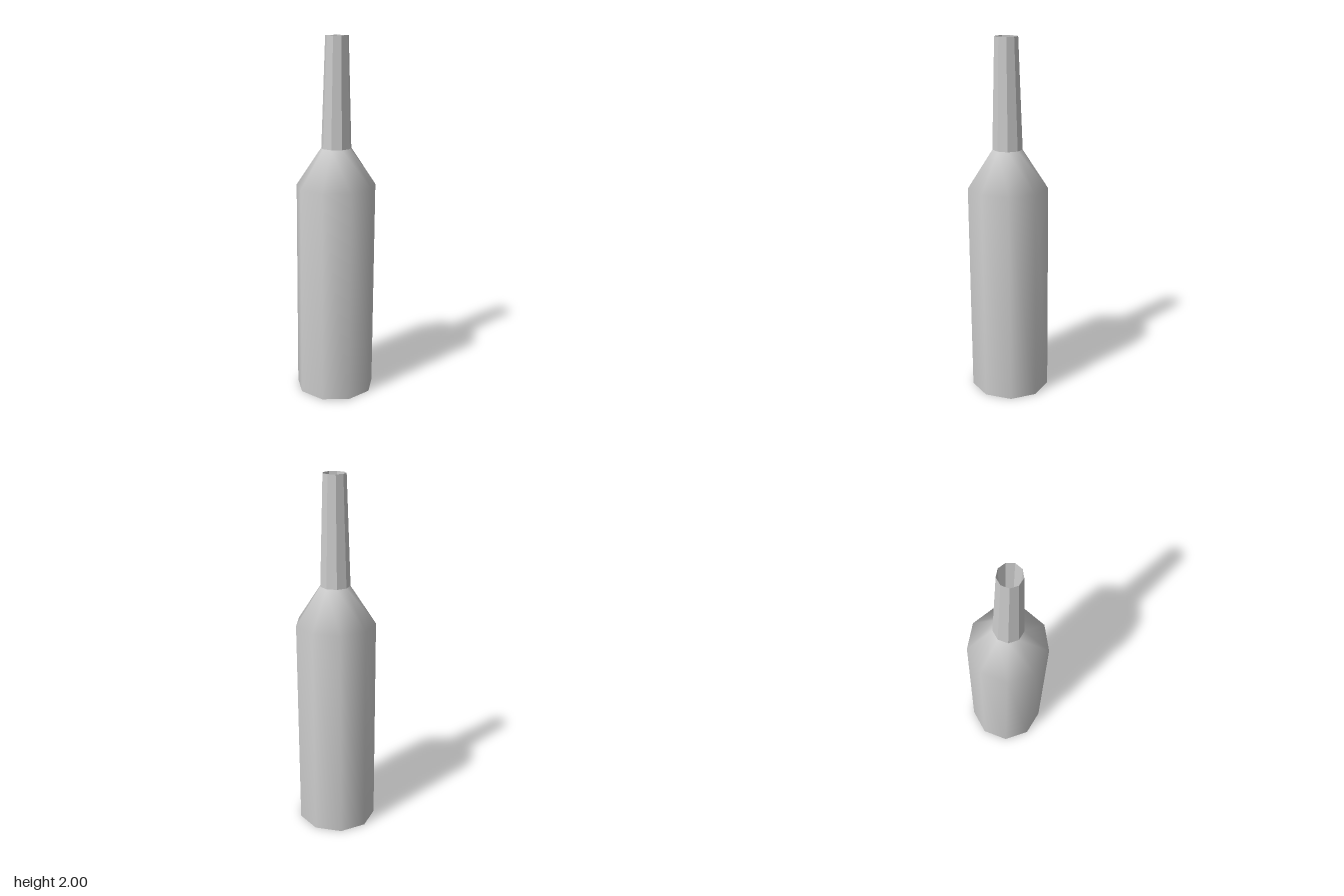
import * as THREE from 'three';

const SIDES = 9;
const PHASE = -0.108;
const grey = new THREE.MeshStandardMaterial({ color: 0xcccccc });
const greyFlat = new THREE.MeshStandardMaterial({ color: 0xcccccc, flatShading: true });

// slight lean towards +z as the bottle rises
const lean = new THREE.Matrix4().set(
  1, 0, 0, 0.004,
  0, 1, 0, 0,
  0, 0.0118, 1, -0.0115,
  0, 0, 0, 1
);

// nine-sided turned part from [radius, height] pairs
function turned(name, profile, flat) {
  const points = profile.map(([r, y]) => new THREE.Vector2(r, y));
  let geometry = new THREE.LatheGeometry(points, SIDES, PHASE);
  geometry.applyMatrix4(lean);
  if (flat) {
    geometry = geometry.toNonIndexed();
    geometry.computeVertexNormals();
  }
  const mesh = new THREE.Mesh(geometry, flat ? greyFlat : grey);
  mesh.name = name;
  return mesh;
}

export function createModel() {
  const bottle = new THREE.Group();
  bottle.name = 'bottle';

  // smooth body with sloping shoulder
  bottle.add(turned('body', [[0.222, 0], [0.222, 1.195], [0.083, 1.405]], false));

  // flat base
  bottle.add(turned('base', [[0, 0], [0.222, 0]], true));

  // faceted neck: outer wall, thin rim, narrowing bore and its floor
  bottle.add(turned('neck', [[0.083, 1.405], [0.063, 2], [0.042, 1.405], [0, 1.405]], true));

  return bottle;
}
